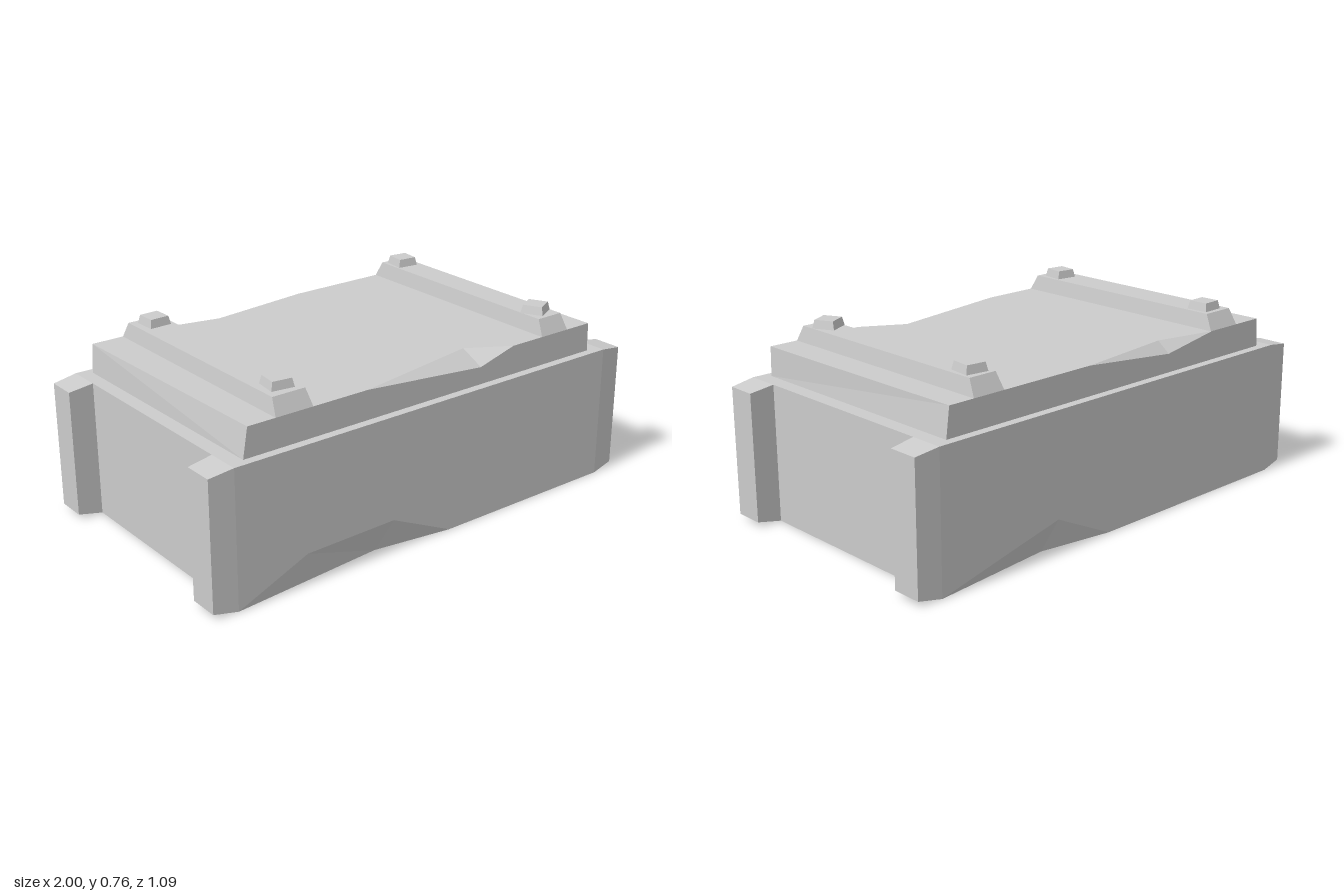
import * as THREE from 'three';

const material = new THREE.MeshStandardMaterial({ color: 0xcccccc, flatShading: true });

function addMesh(parent, name, geometry, x = 0, y = 0, z = 0) {
  const mesh = new THREE.Mesh(geometry, material);
  mesh.name = name;
  mesh.position.set(x, y, z);
  parent.add(mesh);
  return mesh;
}

// Flat-faced solid from polygons; each face is turned away from the centre.
function polyhedron(faces, centre) {
  const positions = [];
  const mid = new THREE.Vector3(...centre);
  for (const face of faces) {
    const pts = face.map((p) => new THREE.Vector3(...p));
    const normal = new THREE.Vector3();
    const middle = new THREE.Vector3();
    pts.forEach((p, i) => {
      normal.add(p.clone().cross(pts[(i + 1) % pts.length]));
      middle.addScaledVector(p, 1 / pts.length);
    });
    if (normal.dot(middle.sub(mid)) < 0) normal.negate();
    // Flatten along the main axis of the normal to triangulate
    const size = normal.toArray().map(Math.abs);
    const drop = size.indexOf(Math.max(...size));
    const flat = pts.map((p) => new THREE.Vector2(...p.toArray().filter((_, i) => i !== drop)));
    for (const [a, b, c] of THREE.ShapeUtils.triangulateShape(flat, [])) {
      const n = pts[b].clone().sub(pts[a]).cross(pts[c].clone().sub(pts[a]));
      const order = n.dot(normal) > 0 ? [a, b, c] : [a, c, b];
      order.forEach((i) => positions.push(...pts[i].toArray()));
    }
  }
  const geometry = new THREE.BufferGeometry();
  geometry.setAttribute('position', new THREE.Float32BufferAttribute(positions, 3));
  geometry.computeVertexNormals();
  return geometry;
}

// Facets of a chip: the cut edge on the face fans out to one inner point.
const chipFacets = (edge, inner) => edge.slice(1).map((p, i) => [edge[i], p, inner]);

// Long board with tapered ends and a chip along its lower outer edge.
function sideBoard(chip, innerX) {
  const outer = 0.545, inner = 0.41, top = 0.55;
  const edge = chip.map(([x, y]) => [x, y, outer]);
  const deep = [innerX, 0, outer - 0.05];
  const ring = (s) => [[s * 0.9, 0, outer], [s * 0.9, top, outer], [s * 0.9, top, inner], [s * 0.9, 0, inner]];
  const L = ring(-1), R = ring(1);
  const faces = [
    [...edge, R[0], R[1], L[1]],
    [L[1], R[1], R[2], L[2]],
    [L[2], R[2], R[3], L[3]],
    [edge[0], deep, edge[edge.length - 1], R[0], R[3], L[3]],
    ...chipFacets(edge, deep),
  ];
  for (const s of [-1, 1]) {
    const near = ring(s);
    const end = [[s, 0.02, 0.537], [s, 0.535, 0.537], [s, 0.535, 0.415], [s, 0.02, 0.415]];
    near.forEach((p, i) => faces.push([p, near[(i + 1) % 4], end[(i + 1) % 4], end[i]]));
    faces.push(end);
  }
  return polyhedron(faces, [0, 0.275, 0.478]);
}

// Slightly skewed lid, chipped on the front and back upper edges.
function lidGeometry() {
  const y0 = 0.55, y1 = 0.667, z = 0.51;
  const bottom = [[-0.84, y0, z], [0.84, y0, z], [0.84, y0, -z], [-0.845, y0, -z]];
  const top = [[-0.82, y1, z], [0.837, y1, z], [0.825, y1, -z], [-0.838, y1, -z]];
  const front = [[-0.3, y1, z], [0.25, 0.62, z], [0.42, y1, z]];
  const back = [[0.15, y1, -z], [-0.29, 0.625, -z], [-0.55, y1, -z]];
  const frontIn = [0.25, y1, 0.41], backIn = [-0.29, y1, -0.455];
  return polyhedron([
    bottom,
    [top[0], front[0], frontIn, front[2], top[1], top[2], back[0], backIn, back[2], top[3]],
    [bottom[0], bottom[1], top[1], ...[...front].reverse(), top[0]],
    [bottom[2], bottom[3], top[3], ...[...back].reverse(), top[2]],
    [bottom[1], bottom[2], top[2], top[1]],
    [bottom[3], bottom[0], top[0], top[3]],
    ...chipFacets(front, frontIn),
    ...chipFacets(back, backIn),
  ], [0, 0.6, 0]);
}

// Box standing on y = 0 whose upper face is narrowed.
function taperedBox(w, h, d, topW, topD) {
  const geometry = new THREE.BoxGeometry(w, h, d).translate(0, h / 2, 0);
  const p = geometry.attributes.position;
  for (let i = 0; i < p.count; i++) {
    if (p.getY(i) > h / 2) {
      p.setX(i, p.getX(i) * topW / w);
      p.setZ(i, p.getZ(i) * topD / d);
    }
  }
  geometry.computeVertexNormals();
  return geometry;
}

export function createModel() {
  const crate = new THREE.Group();
  crate.name = 'crate';

  // Body and its long side boards
  addMesh(crate, 'body', new THREE.BoxGeometry(1.8, 0.55, 0.82), 0, 0.275, 0);
  addMesh(crate, 'frontBoard', sideBoard([[-0.9, 0], [-0.6, 0.125], [-0.2, 0.13], [0.08, 0]], -0.25));
  const backBoard = addMesh(crate, 'backBoard', sideBoard([[-0.9, 0], [-0.56, 0.08], [-0.34, 0.13], [-0.07, 0]], -0.38));
  backBoard.rotation.y = Math.PI;

  // Lid with two battens
  addMesh(crate, 'lid', lidGeometry());
  addMesh(crate, 'rightBatten', taperedBox(0.16, 0.063, 1.02, 0.14, 0.955), -0.623, 0.667, 0);
  addMesh(crate, 'leftBatten', taperedBox(0.14, 0.063, 1.02, 0.12, 0.955), 0.645, 0.667, 0);

  // Square bolt heads, each turned a little differently
  const bolts = [[-0.617, -0.41, 0.04], [-0.617, 0.4, -0.13], [0.643, -0.41, -0.12], [0.643, 0.4, 0.47]];
  for (const [x, z, turn] of bolts) {
    addMesh(crate, 'bolt', taperedBox(0.092, 0.034, 0.092, 0.078, 0.078), x, 0.729, z).rotation.y = turn;
  }
  return crate;
}
